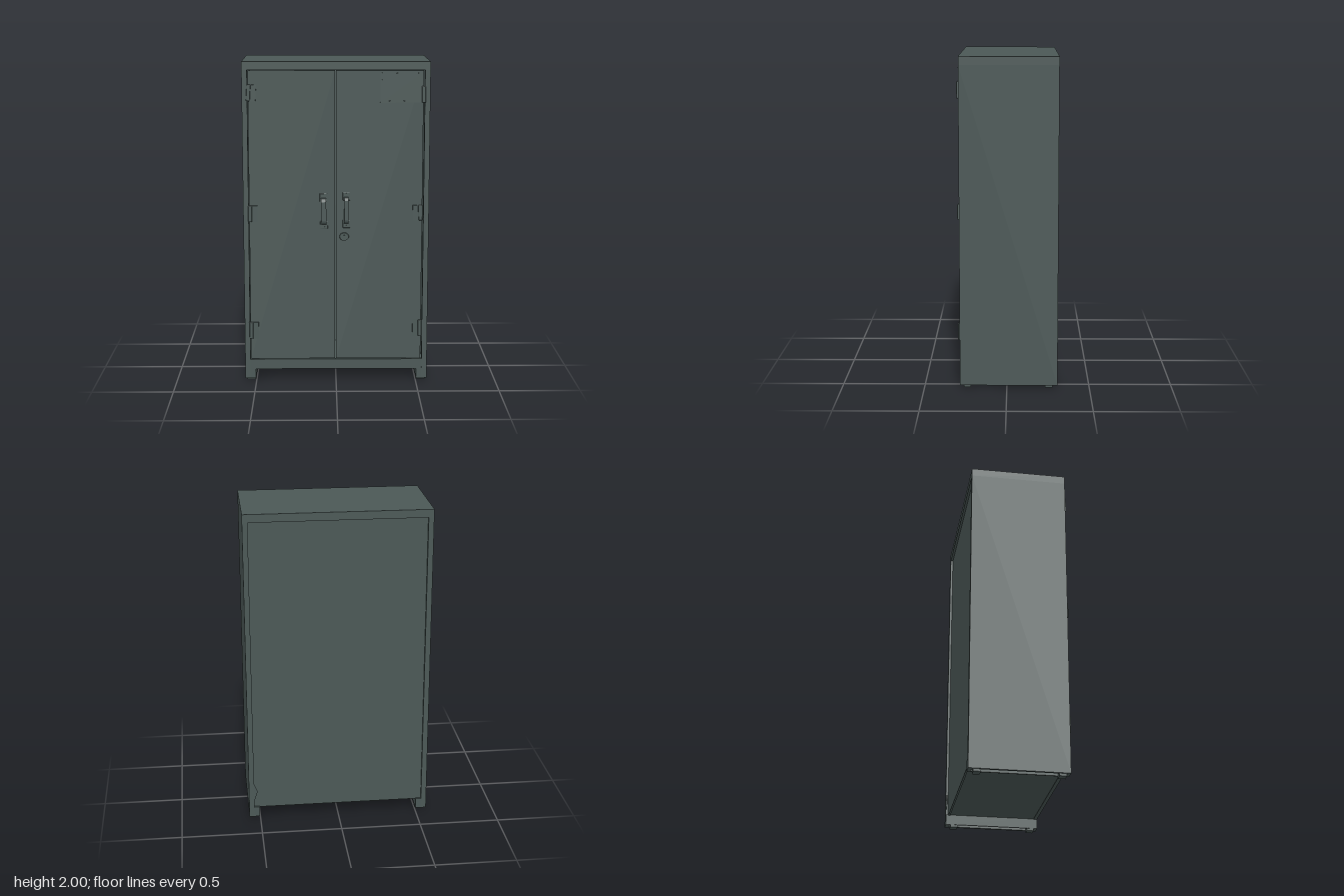
import * as THREE from 'three';
import { RoundedBoxGeometry } from 'three/addons/geometries/RoundedBoxGeometry.js';

const paint = new THREE.MeshStandardMaterial({ color: 0x4b5856 });
paint.name = 'grey green paint';

const FRONT = 0.284, BACK = -0.307, HALF = 0.57;

function add(parent, name, geometry) {
  const mesh = new THREE.Mesh(geometry, paint);
  mesh.name = name;
  parent.add(mesh);
  return mesh;
}

// Box given by its lower and upper limits on each axis
function box(parent, name, x0, x1, y0, y1, z0, z1) {
  const mesh = add(parent, name, new THREE.BoxGeometry(x1 - x0, y1 - y0, z1 - z0));
  mesh.position.set((x0 + x1) / 2, (y0 + y1) / 2, (z0 + z1) / 2);
  return mesh;
}

// Folded sheet side: a C section with front and back flanges
function sidePanel(parent, s) {
  const section = [
    [HALF, FRONT], [0.537, FRONT], [0.537, 0.255], [0.553, 0.255],
    [0.553, -0.28], [0.537, -0.28], [0.537, BACK], [HALF, BACK],
  ].map(([x, z]) => new THREE.Vector2(s * x, -z));
  const geo = new THREE.ExtrudeGeometry(new THREE.Shape(section), { depth: 1.935, bevelEnabled: false });
  geo.rotateX(-Math.PI / 2);
  geo.translate(0, 0.015, 0);
  add(parent, 'sidePanel', geo);
}

// Hollow runner under each side, with four small pads in all
function runner(parent, s) {
  const part = (name, a, b, y0, y1, z0, z1) =>
    box(parent, name, Math.min(s * a, s * b), Math.max(s * a, s * b), y0, y1, z0, z1);
  part('runnerInnerWall', 0.503, 0.513, 0.015, 0.08, BACK, FRONT);
  part('runnerRoof', 0.51, 0.56, 0.04, 0.08, BACK + 0.01, FRONT - 0.01);
  part('runnerFrontCap', 0.51, 0.54, 0.015, 0.08, FRONT - 0.02, FRONT);
  part('runnerBackCap', 0.51, 0.54, 0.015, 0.08, BACK, BACK + 0.02);
  for (const z of [0.24, -0.255]) part('footPad', 0.505, 0.56, 0, 0.042, z - 0.022, z + 0.022);
}

// Hinge: leaf on the door and a raised knuckle at its outer edge
function hinge(parent, x, y, s, height, tilt) {
  const group = new THREE.Group();
  group.name = 'hinge';
  const leaf = add(group, 'hingeLeaf', new THREE.BoxGeometry(0.06, height, 0.009));
  leaf.position.z = 0.001;
  const knuckle = add(group, 'hingeKnuckle', new RoundedBoxGeometry(0.024, height, 0.016, 2, 0.005));
  knuckle.position.set(s * 0.015, 0, 0.004);
  group.position.set(x, y, FRONT);
  group.rotation.z = tilt;
  parent.add(group);
}

// Pull handle: a bridge shaped grip between two rounded mounting tabs
function handle(parent, x, y, width, tilt) {
  const group = new THREE.Group();
  group.name = 'doorHandle';
  const side = new THREE.Shape([
    [0, -0.085], [0.014, -0.078], [0.021, -0.06], [0.021, 0.06], [0.014, 0.078], [0, 0.085],
    [0, 0.07], [0.008, 0.066], [0.014, 0.05], [0.014, -0.05], [0.008, -0.066], [0, -0.07],
  ].map(([z, h]) => new THREE.Vector2(z, h)));
  const grip = new THREE.ExtrudeGeometry(side, { depth: width, bevelEnabled: false });
  grip.translate(0, 0, -width / 2);
  grip.rotateY(-Math.PI / 2);
  add(group, 'handleGrip', grip);
  for (const s of [-1, 1]) {
    const tab = add(group, 'handleTab', new RoundedBoxGeometry(0.046, 0.05, 0.008, 2, 0.003));
    tab.position.set(0, s * 0.086, 0);
    const screw = add(group, 'handleScrew', new THREE.CylinderGeometry(0.006, 0.006, 0.004, 10));
    screw.rotation.x = Math.PI / 2;
    screw.position.set(0, s * 0.1, 0.005);
  }
  group.position.set(x, y, FRONT);
  group.rotation.z = tilt;
  parent.add(group);
}

export function createModel() {
  const cabinet = new THREE.Group();
  cabinet.name = 'metalCabinet';

  // Carcass
  box(cabinet, 'topCap', -HALF, HALF, 1.95, 2, BACK, FRONT);
  box(cabinet, 'backPanel', -0.555, 0.555, 0.075, 1.95, -0.292, -0.28);
  box(cabinet, 'floorPanel', -0.555, 0.555, 0.078, 0.092, -0.285, 0.27);
  box(cabinet, 'bottomRail', -0.537, 0.537, 0.075, 0.138, 0.26, FRONT - 0.002);
  for (const s of [-1, 1]) {
    sidePanel(cabinet, s);
    runner(cabinet, s);
  }

  // Doors with a narrow gap between them
  box(cabinet, 'rightDoor', -0.533, -0.006, 0.143, 1.946, 0.258, 0.281);
  box(cabinet, 'leftDoor', 0, 0.529, 0.143, 1.946, 0.258, 0.281);

  // Hinges, each set a little unevenly
  hinge(cabinet, -0.515, 1.812, -1, 0.1, -0.06);
  hinge(cabinet, -0.513, 1.07, -1, 0.1, 0);
  hinge(cabinet, -0.513, 0.328, -1, 0.105, 0);
  hinge(cabinet, 0.515, 1.803, 1, 0.1, 0.02);
  hinge(cabinet, 0.502, 1.075, 1, 0.095, 0.03);
  hinge(cabinet, 0.507, 0.342, 1, 0.105, 0);

  handle(cabinet, -0.076, 1.085, 0.032, 0.02);
  handle(cabinet, 0.063, 1.092, 0.026, 0);

  // Lock with a keyway
  const lock = add(cabinet, 'lockPlate', new THREE.CylinderGeometry(0.024, 0.026, 0.01, 24));
  lock.rotation.x = Math.PI / 2;
  lock.scale.x = 1.15;
  lock.position.set(0.05, 0.925, 0.285);
  const plug = add(cabinet, 'lockPlug', new THREE.CylinderGeometry(0.011, 0.011, 0.006, 16));
  plug.rotation.x = Math.PI / 2;
  plug.position.set(0.05, 0.925, 0.291);
  box(cabinet, 'lockKeyway', 0.048, 0.052, 0.918, 0.932, 0.292, 0.296);

  // Riveted plate on the upper corner of a door
  box(cabinet, 'rivetedPlate', 0.267, 0.529, 1.752, 1.942, 0.28, 0.2855);
  const rivet = (x, y) => {
    const head = add(cabinet, 'rivet', new THREE.CylinderGeometry(0.003, 0.004, 0.003, 8));
    head.rotation.x = Math.PI / 2;
    head.position.set(x, y, 0.2865);
  };
  for (let i = 0; i < 6; i++) {
    rivet(0.28 + i * 0.044, 1.931);
    rivet(0.28 + i * 0.044, 1.763);
  }
  for (const y of [1.805, 1.847, 1.889]) rivet(0.28, y);

  // Bent tongue of sheet metal at the lower back corner
  const flap = new THREE.Shape([
    new THREE.Vector2(0.54, 0.11), new THREE.Vector2(0.54, 0.25), new THREE.Vector2(0.515, 0.19),
  ]);
  const flapMesh = add(cabinet, 'bentFlange', new THREE.ExtrudeGeometry(flap, { depth: 0.005, bevelEnabled: false }));
  flapMesh.position.z = -0.303;

  return cabinet;
}
